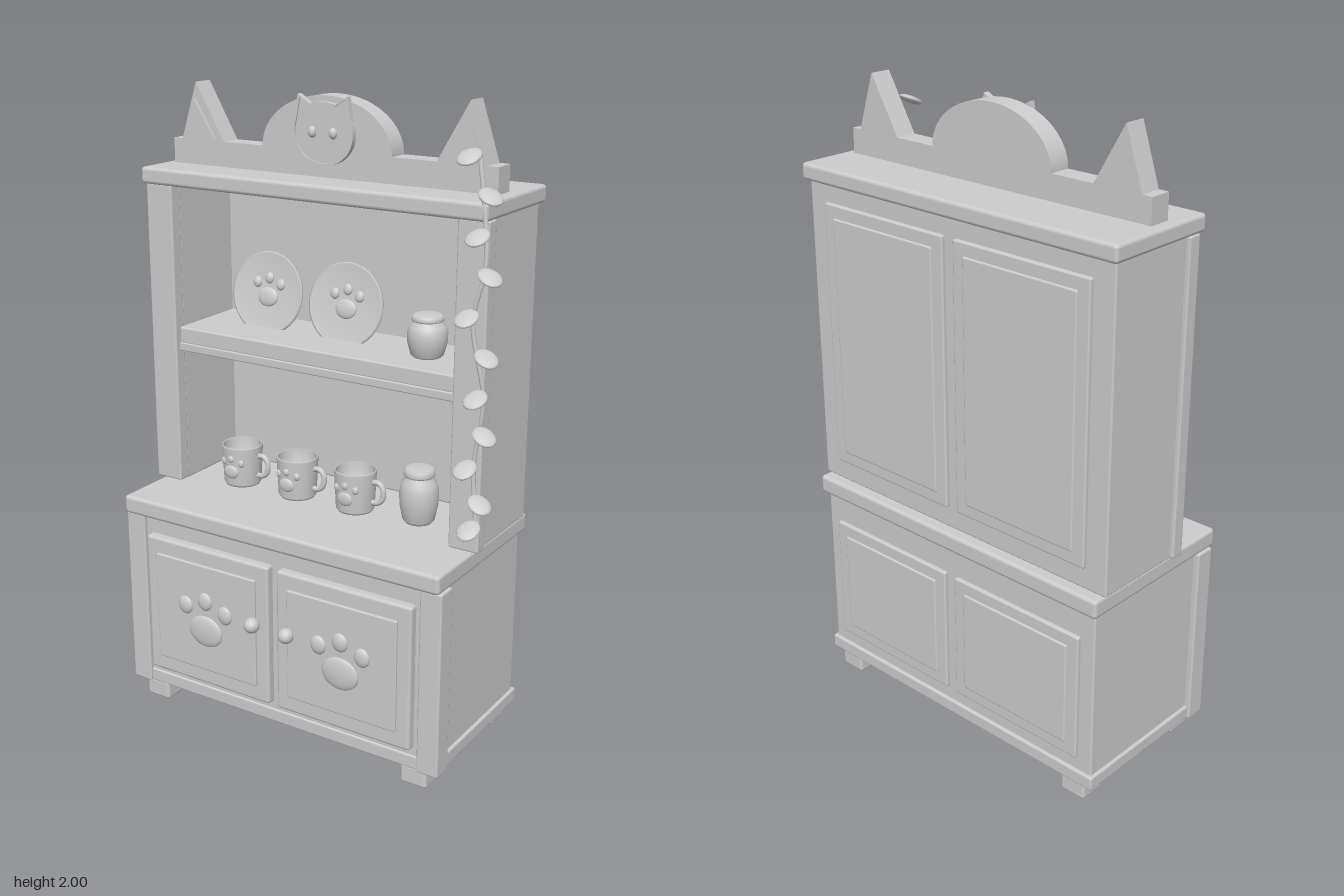
import * as THREE from 'three';
import { RoundedBoxGeometry } from 'three/addons/geometries/RoundedBoxGeometry.js';

const grey = new THREE.MeshStandardMaterial({ color: 0xcccccc });
grey.name = 'plain grey';
grey.side = THREE.DoubleSide;
const CX = -0.04; // centre line of the cabinet

function add(parent, name, geometry, x = 0, y = 0, z = 0) {
  const m = new THREE.Mesh(geometry, grey);
  m.name = name;
  m.position.set(x, y, z);
  parent.add(m);
  return m;
}

// Box given by its limits, with slightly eased edges
function board(parent, name, x0, x1, y0, y1, z0, z1, r = 0.006) {
  const w = x1 - x0, h = y1 - y0, d = z1 - z0;
  const geo = new RoundedBoxGeometry(w, h, d, 2, Math.min(r, w / 3, h / 3, d / 3));
  return add(parent, name, geo, (x0 + x1) / 2, (y0 + y1) / 2, (z0 + z1) / 2);
}

function ellipsoid(parent, name, x, y, z, rx, ry, rz) {
  return add(parent, name, new THREE.SphereGeometry(1, 20, 14).scale(rx, ry, rz), x, y, z);
}

function extrude(points, depth) {
  const shape = Array.isArray(points) ? new THREE.Shape(points.map(p => new THREE.Vector2(...p))) : points;
  return new THREE.ExtrudeGeometry(shape, { depth, bevelEnabled: false, curveSegments: 32 });
}

function lathe(points) {
  return new THREE.LatheGeometry(points.map(p => new THREE.Vector2(...p)), 32);
}

// Paw print: one pad and three toes, optionally wrapped on a round surface
function paw(parent, x, y, z, s, depth, radius = 0) {
  const g = new THREE.Group();
  g.name = 'pawPrint';
  g.position.set(x, y, z);
  parent.add(g);
  ellipsoid(g, 'pawPad', 0, 0, 0, 0.065 * s, 0.053 * s, depth);
  for (const [tx, ty] of [[-0.077, 0.075], [0, 0.104], [0.077, 0.075]]) {
    const drop = radius ? radius - Math.sqrt(radius * radius - tx * tx * s * s) : 0;
    ellipsoid(g, 'pawToe', tx * s, ty * s, -drop, 0.027 * s, 0.031 * s, depth);
  }
}

function buildBase(g) {
  board(g, 'baseBody', -0.6, 0.52, 0.07, 0.67, -0.285, 0.238);
  board(g, 'baseBottomBoard', -0.61, 0.53, 0.06, 0.105, -0.296, 0.243);
  board(g, 'counter', -0.615, 0.535, 0.66, 0.72, -0.306, 0.267, 0.012);
  for (const s of [-1, 1]) {
    const c = CX + s * 0.543;
    board(g, 'frontPost', c - 0.036, c + 0.036, 0.06, 0.66, 0.185, 0.252);
    for (const z of [0.195, -0.242]) {
      const f = CX + s * 0.49;
      board(g, 'foot', f - 0.045, f + 0.045, 0, 0.065, z - 0.044, z + 0.044, 0.01);
    }
    // Doors with raised panel, paw print and knob
    const d = CX + s * 0.2525;
    board(g, 'door', d - 0.237, d + 0.237, 0.13, 0.602, 0.225, 0.266, 0.01);
    board(g, 'doorPanel', d - 0.193, d + 0.193, 0.185, 0.55, 0.255, 0.274, 0.004);
    paw(g, d, 0.325, 0.274, 1, 0.013);
    const k = CX + s * 0.064;
    add(g, 'knob', new THREE.SphereGeometry(0.025, 20, 14), k, 0.403, 0.285);
    add(g, 'knobStem', new THREE.CylinderGeometry(0.012, 0.012, 0.03, 12).rotateX(Math.PI / 2), k, 0.403, 0.268);
  }
}

function buildHutch(g) {
  board(g, 'hutchBack', -0.62, 0.54, 0.72, 1.7, -0.27, -0.235);
  board(g, 'hutchTop', -0.637, 0.557, 1.695, 1.748, -0.29, 0.092, 0.012);
  for (const s of [-1, 1]) {
    const x = CX + s * 0.54;
    board(g, 'hutchSide', x - 0.042, x + 0.042, 0.72, 1.7, -0.27, 0.03);
    const p = CX + s * 0.546;
    board(g, 'hutchPost', p - 0.049, p + 0.049, 0.722, 1.696, 0.025, 0.07);
  }
  board(g, 'shelf', -0.55, 0.47, 1.187, 1.24, -0.25, 0.045);
  board(g, 'shelfLip', -0.55, 0.47, 1.163, 1.19, 0.015, 0.05, 0.004);
}

// Framed panels on the back of both halves
function buildBackPanels(g) {
  for (const [y0, y1, z] of [[0.79, 1.64, -0.27], [0.15, 0.57, -0.285]]) {
    for (const s of [-1, 1]) {
      const c = CX + s * 0.265, w = 0.245;
      board(g, 'backPanel', c - w, c + w, y0, y1, z - 0.013, z + 0.01);
      board(g, 'backPanelCentre', c - w + 0.04, c + w - 0.04, y0 + 0.04, y1 - 0.04, z - 0.018, z);
    }
  }
}

function buildCrest(g) {
  const crest = new THREE.Group();
  crest.name = 'crest';
  crest.position.set(CX, 0, -0.108);
  g.add(crest);
  // Rail with two ears and a dome in one outline
  const s = new THREE.Shape();
  s.moveTo(-0.563, 1.74);
  s.lineTo(0.563, 1.74);
  for (const [x, y] of [[0.563, 1.825], [0.53, 1.825], [0.472, 2], [0.37, 1.825], [0.225, 1.825]]) s.lineTo(x, y);
  s.absellipse(0, 1.825, 0.225, 0.16, 0, Math.PI, false);
  for (const [x, y] of [[-0.37, 1.825], [-0.472, 2], [-0.53, 1.825], [-0.563, 1.825]]) s.lineTo(x, y);
  add(crest, 'crestBoard', extrude(s, 0.07));
  for (const m of [-1, 1]) {
    const ear = [[m * 0.508, 1.832], [m * 0.475, 1.95], [m * 0.4, 1.832]];
    add(crest, 'innerEar', extrude(ear, 0.01), 0, 0, 0.07);
  }
  // Cat face plaque with a raised rim
  const face = k => {
    const f = new THREE.Shape();
    f.moveTo(-0.085 * k, 0.105 * k);
    f.lineTo(-0.045 * k, 0.08 * k);
    f.quadraticCurveTo(0, 0.092 * k, 0.045 * k, 0.08 * k);
    f.lineTo(0.085 * k, 0.105 * k);
    f.lineTo(0.098 * k, 0.035 * k);
    f.bezierCurveTo(0.125 * k, -0.04 * k, 0.07 * k, -0.098 * k, 0, -0.098 * k);
    f.bezierCurveTo(-0.07 * k, -0.098 * k, -0.125 * k, -0.04 * k, -0.098 * k, 0.035 * k);
    f.closePath();
    return f;
  };
  add(crest, 'catFace', extrude(face(0.95), 0.015), 0, 1.882, 0.068);
  const rim = face(1);
  rim.holes.push(new THREE.Path(face(0.92).getPoints(24)));
  add(crest, 'catFaceRim', extrude(rim, 0.02), 0, 1.882, 0.068);
  for (const m of [-1, 1]) ellipsoid(crest, 'catEye', m * 0.036, 1.88, 0.085, 0.013, 0.017, 0.012);
}

function buildCrockery(g) {
  const plate = lathe([[0, 0], [0.08, 0], [0.132, 0.012], [0.133, 0.018], [0.127, 0.021], [0.085, 0.011], [0, 0.01]])
    .rotateX(Math.PI / 2);
  for (const x of [-0.315, -0.022]) {
    const p = new THREE.Group();
    p.name = 'plate';
    p.position.set(x, 1.343, -0.14);
    p.rotation.x = -0.2;
    g.add(p);
    add(p, 'plateDish', plate);
    paw(p, 0, -0.012, 0.012, 0.58, 0.01);
  }
  const cup = lathe([[0, 0], [0.056, 0], [0.061, 0.008], [0.067, 0.13], [0.065, 0.135], [0.06, 0.132], [0.055, 0.015], [0, 0.015]]);
  const handle = new THREE.TubeGeometry(new THREE.CatmullRomCurve3(
    [[0.055, 0.1], [0.085, 0.102], [0.1, 0.085], [0.097, 0.05], [0.08, 0.036], [0.053, 0.035]]
      .map(p => new THREE.Vector3(p[0], p[1], 0))), 24, 0.009, 10);
  for (const x of [-0.365, -0.148, 0.07]) {
    const m = new THREE.Group();
    m.name = 'mug';
    m.position.set(x, 0.72, -0.04);
    g.add(m);
    add(m, 'mugCup', cup);
    add(m, 'mugHandle', handle);
    paw(m, 0, 0.053, 0.063, 0.42, 0.008, 0.064);
  }
  // Lidded jars, one tall on the counter and one short on the shelf
  for (const [y, z, k] of [[0.72, -0.06, 1], [1.24, -0.09, 0.73]]) {
    const j = new THREE.Group();
    j.name = 'jar';
    j.position.set(0.286, y, z);
    g.add(j);
    add(j, 'jarBody', lathe([[0, 0], [0.042, 0], [0.05, 0.01 * k], [0.06, 0.06 * k], [0.061, 0.1 * k], [0.055, 0.13 * k], [0.043, 0.145 * k], [0.043, 0.155 * k]]));
    add(j, 'jarLid', lathe([[0, 0.15 * k], [0.046, 0.15 * k], [0.049, 0.155 * k], [0.048, 0.17 * k], [0.04, 0.176 * k], [0, 0.177 * k]]));
  }
}

// Hanging garland at the front corner
function buildGarland(g) {
  const pts = [[0.52, 1.88, 0.075], [0.545, 1.74, 0.085], [0.56, 1.58, 0.095], [0.53, 1.42, 0.1],
    [0.565, 1.2, 0.09], [0.54, 1, 0.085], [0.555, 0.82, 0.09]].map(p => new THREE.Vector3(...p));
  add(g, 'garlandStem', new THREE.TubeGeometry(new THREE.CatmullRomCurve3(pts), 60, 0.007, 8));
  const leaf = new THREE.SphereGeometry(1, 16, 10).scale(0.034, 0.011, 0.041);
  const spots = [[0.518, 1.873], [0.58, 1.772], [0.55, 1.662], [0.587, 1.556], [0.525, 1.437], [0.585, 1.33],
    [0.56, 1.211], [0.587, 1.105], [0.535, 1], [0.58, 0.9], [0.553, 0.818]];
  spots.forEach(([x, y], i) => {
    const l = add(g, 'garlandLeaf', leaf, x, y, i % 2 ? 0.122 : 0.13);
    l.rotation.set(0.45, i % 2 ? 0.95 : 0, 0, 'YXZ');
  });
}

export function createModel() {
  const root = new THREE.Group();
  root.name = 'kitchenHutch';
  const parts = { base: buildBase, hutch: buildHutch, backPanels: buildBackPanels, topCrest: buildCrest, crockery: buildCrockery, garland: buildGarland };
  for (const [name, build] of Object.entries(parts)) {
    const g = new THREE.Group();
    g.name = name;
    build(g);
    root.add(g);
  }
  return root;
}
